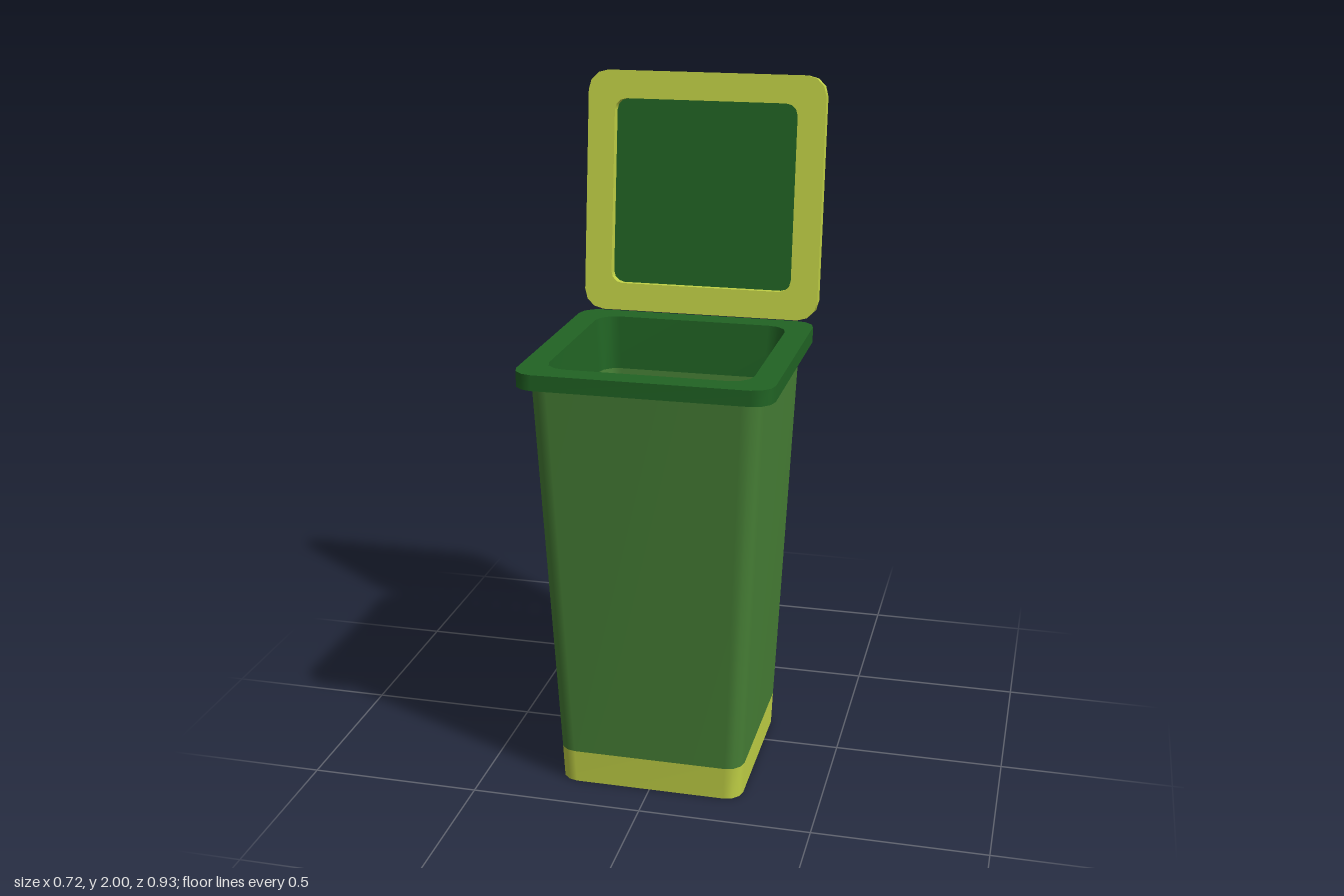
import * as THREE from 'three';
import { mergeGeometries } from 'three/addons/utils/BufferGeometryUtils.js';

const CORNER_STEPS = 3;

// Outline of a rounded square at height y
function ring(half, radius, y) {
  const pts = [];
  for (let q = 0; q < 4; q++) {
    const mid = (q + 0.5) * Math.PI / 2;
    const cx = Math.sign(Math.cos(mid)) * (half - radius);
    const cz = Math.sign(Math.sin(mid)) * (half - radius);
    for (let i = 0; i <= CORNER_STEPS; i++) {
      const a = (q + i / CORNER_STEPS) * Math.PI / 2;
      pts.push(cx + radius * Math.cos(a), y, cz + radius * Math.sin(a));
    }
  }
  return pts;
}

// Smooth skin through sections of [half width, corner radius, y]
function loft(sections) {
  const n = 4 * (CORNER_STEPS + 1);
  const index = [];
  for (let k = 0; k < sections.length - 1; k++) {
    for (let i = 0; i < n; i++) {
      const a = k * n + i, b = k * n + (i + 1) % n;
      index.push(a, a + n, b, b, a + n, b + n);
    }
  }
  const geo = new THREE.BufferGeometry();
  geo.setAttribute('position', new THREE.Float32BufferAttribute(sections.flatMap(s => ring(...s)), 3));
  geo.setIndex(index);
  geo.computeVertexNormals();
  return geo;
}

// Same skin with a sharp edge at every section
function sharpLoft(sections) {
  return mergeGeometries(sections.slice(1).map((s, i) => loft([sections[i], s])));
}

export function createModel() {
  const bodyGreen = new THREE.MeshStandardMaterial({ color: 0x478036, name: 'bodyGreen' });
  const darkGreen = new THREE.MeshStandardMaterial({ color: 0x216424, name: 'darkGreen' });
  const lime = new THREE.MeshStandardMaterial({ color: 0xc3d346, name: 'lime', side: THREE.DoubleSide });

  const add = (parent, name, geo, mat) => {
    const mesh = new THREE.Mesh(geo, mat);
    mesh.name = name;
    parent.add(mesh);
  };

  const model = new THREE.Group();
  model.name = 'wheelieBin';

  // Tapered container
  const bin = new THREE.Group();
  bin.name = 'bin';
  bin.position.z = 0.105;
  model.add(bin);
  add(bin, 'baseBand', loft([[0.272, 0.05, 0], [0.276, 0.05, 0.1]]), lime);
  add(bin, 'outerWall', sharpLoft([[0, 0, 0.1], [0.276, 0.05, 0.1], [0.327, 0.055, 1.235]]), bodyGreen);
  add(bin, 'innerWallAndFloor', sharpLoft([[0.278, 0.055, 1.12], [0.203, 0.055, 0.11], [0, 0, 0.11]]), bodyGreen);

  // Rim with a collar reaching down inside the opening
  add(bin, 'rim', sharpLoft([
    [0.32, 0.05, 1.235], [0.362, 0.06, 1.235], [0.362, 0.06, 1.28],
    [0.29, 0.06, 1.28], [0.278, 0.055, 1.12],
  ]), darkGreen);

  // Open lid, leaning back; local +y is the outside of the lid
  const lid = new THREE.Group();
  lid.name = 'lid';
  lid.position.set(0, 1.64, -0.305);
  lid.rotation.x = -(Math.PI / 2 + 0.124);
  model.add(lid);
  add(lid, 'lidFrame', sharpLoft([
    [0.279, 0.035, 0.032], [0.279, 0.035, 0], [0.362, 0.06, 0], [0.362, 0.06, 0.04],
  ]), lime);
  add(lid, 'lidInnerPanel', loft([[0, 0, 0.032], [0.279, 0.035, 0.032]]), darkGreen);
  add(lid, 'lidDome', loft([[0.362, 0.06, 0.04], [0.17, 0.03, 0.14], [0, 0, 0.14]]), darkGreen);

  return model;
}
